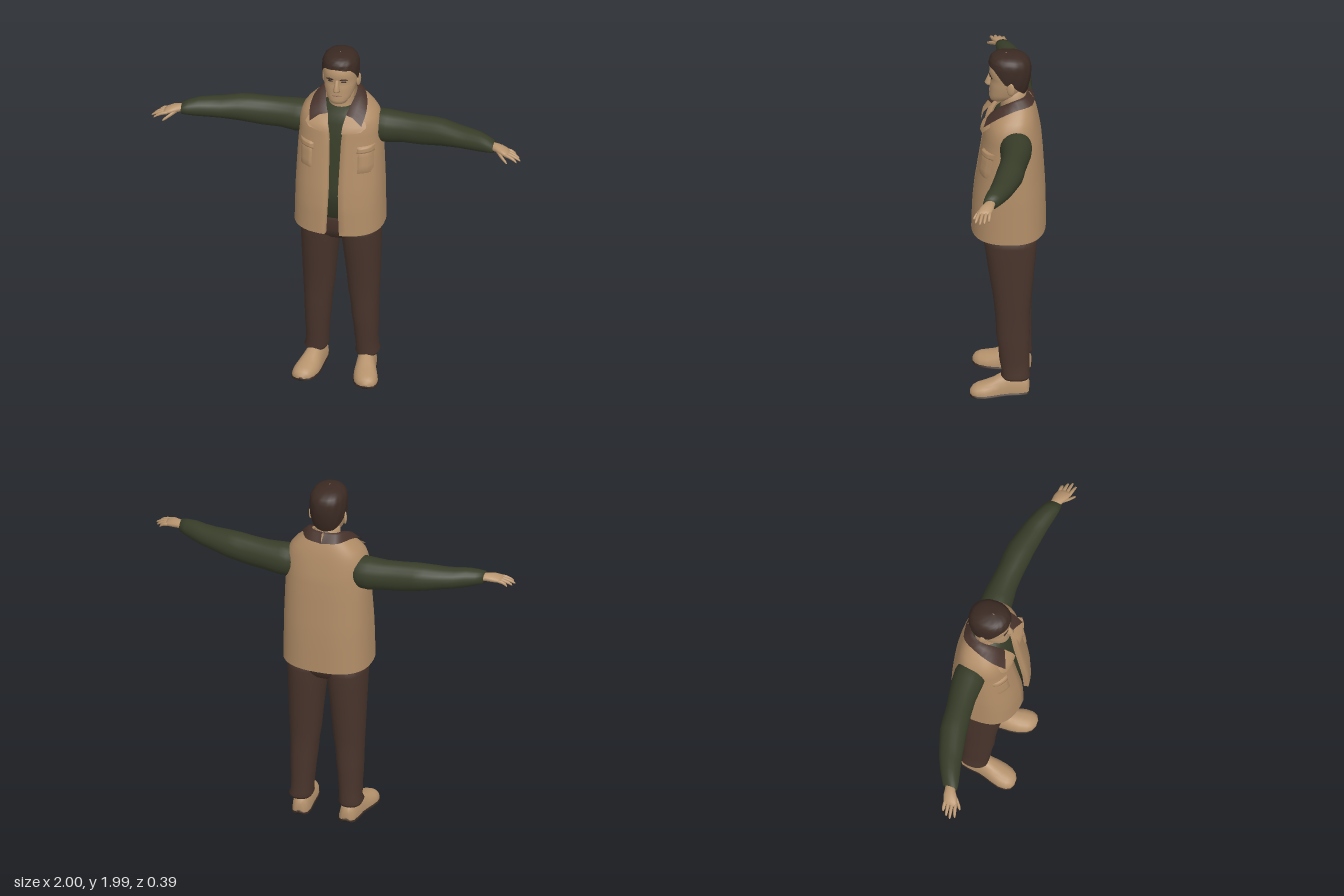
import * as THREE from 'three';

const V = (x, y, z) => new THREE.Vector3(x, y, z);
const mat = (name, color, side = THREE.FrontSide) => {
  const m = new THREE.MeshStandardMaterial({ color, side });
  m.name = name;
  return m;
};
const spow = (v, p) => Math.sign(v) * Math.pow(Math.abs(v), 2 / p);

// Linear lookup in a table whose rows start with the key
function at(table, k) {
  let i = 0;
  while (i < table.length - 2 && k > table[i + 1][0]) i++;
  const a = table[i], b = table[i + 1];
  const t = THREE.MathUtils.clamp((k - a[0]) / (b[0] - a[0]), 0, 1);
  return a.map((v, j) => v + (b[j] - v) * t);
}

// Horizontal superellipse point; angle 0 faces front, row = [y, rx, zFront, zBack, cx]
function flat([y, rx, zf, zb, cx = 0], a, p = 2.3) {
  return V(cx + rx * spow(Math.sin(a), p), y, (zf + zb) / 2 + (zf - zb) / 2 * spow(Math.cos(a), p));
}
const around = (n, fn) => Array.from({ length: n }, (_, i) => fn(i / n * Math.PI * 2));

// Skin over equal-length rings
function loft(rings, { closed = true, caps = closed } = {}) {
  const n = rings[0].length, pts = rings.flat(), idx = [];
  for (let i = 0; i < rings.length - 1; i++)
    for (let j = 0; j < (closed ? n : n - 1); j++) {
      const k = (j + 1) % n, a = i * n + j, b = i * n + k, c = b + n, d = a + n;
      idx.push(a, b, c, a, c, d);
    }
  if (caps) for (const end of [0, rings.length - 1]) {
    const c = V(0, 0, 0);
    rings[end].forEach(p => c.addScaledVector(p, 1 / n));
    const o = pts.push(c) - 1;
    for (let j = 0; j < n; j++) {
      const a = end * n + j, b = end * n + (j + 1) % n;
      idx.push(o, ...(end ? [a, b] : [b, a]));
    }
  }
  const g = new THREE.BufferGeometry().setFromPoints(pts);
  g.setIndex(idx);
  g.computeVertexNormals();
  return g;
}
const column = (rows, p, n = 32) => loft(rows.map(r => around(n, a => flat(r, a, p))));

// Limb along x, row = [x, cy, ry, cz, rz]
const limb = (rows, n = 20) => loft(rows.map(([x, cy, ry, cz, rz]) =>
  around(n, a => V(x, cy - ry * Math.sin(a), cz + rz * Math.cos(a)))));

function mirrored(g) {
  const m = g.clone().scale(-1, 1, 1), ix = m.index.array;
  for (let i = 0; i < ix.length; i += 3) [ix[i], ix[i + 1]] = [ix[i + 1], ix[i]];
  m.computeVertexNormals();
  return m;
}

// Profiles: [y, rx, zFront, zBack, ...]
const VEST = [[0.945, 0.24, 0.2, -0.195, 0.04], [1.1, 0.237, 0.195, -0.193, 0.033], [1.2, 0.235, 0.185, -0.19, 0.03],
  [1.4, 0.227, 0.155, -0.178, 0.034], [1.5, 0.22, 0.14, -0.17, 0.036], [1.57, 0.218, 0.13, -0.158, 0.045],
  [1.62, 0.203, 0.112, -0.148, 0.062], [1.66, 0.173, 0.085, -0.138, 0.075], [1.7, 0.125, 0.05, -0.124, 0.085],
  [1.74, 0.085, 0.0, -0.105, 0.085]];
const HAIR = [[1.74, 0.07, 0.1, -0.085], [1.78, 0.086, 0.1, -0.1], [1.83, 0.095, 0.1, -0.112], [1.88, 0.099, 0.108, -0.118],
  [1.925, 0.097, 0.109, -0.115], [1.95, 0.09, 0.104, -0.104], [1.97, 0.073, 0.09, -0.08], [1.982, 0.045, 0.065, -0.045], [1.988, 0.002, 0.02, 0.01]];
const HAIRLINE = [[0, 1.93], [0.75, 1.92], [1.05, 1.89], [1.4, 1.835], [1.75, 1.825], [2.0, 1.8], [2.5, 1.765], [3.15, 1.755]];

export function createModel() {
  const root = new THREE.Group();
  root.name = 'standingMan';
  const skin = mat('skin', 0xb8956f), tan = mat('vestTan', 0xb18d67, THREE.DoubleSide), green = mat('shirtGreen', 0x383d29),
    brown = mat('trouserBrown', 0x49352c), dark = mat('collarBrown', 0x46312a, THREE.DoubleSide), hairMat = mat('hairBrown', 0x3b2a23),
    shoeTan = mat('shoeTan', 0xb5926c), soleMat = mat('soleBrown', 0x352822), lip = mat('lip', 0x94705a);

  const add = (name, g, m) => {
    const mesh = new THREE.Mesh(g, m);
    mesh.name = name;
    root.add(mesh);
    return mesh;
  };
  const pair = (name, g, m) => {
    add(name + 'Left', g, m);
    add(name + 'Right', mirrored(g), m);
  };

  // Vest shell, open down the front, with turned-in front edges
  const vestRings = Array.from({ length: 27 }, (_, i) => {
    const r = at(VEST, 0.945 + 0.795 * i / 26), w = r[4];
    const a0 = Math.asin(Math.min(1, Math.pow(w / r[1], 1.25)));
    const ring = Array.from({ length: 49 }, (_, j) =>
      flat(r.slice(0, 4), a0 + (Math.PI * 2 - 2 * a0) * j / 48, 2.5));
    const inner = p => V(p.x - 0.005 * Math.sign(p.x), p.y, p.z - 0.025);
    const all = [inner(ring[0]), ...ring, inner(ring[48])];
    all.forEach(p => { p.x -= 0.005 * Math.max(0, p.z / 0.2); });
    return all;
  });
  add('vest', loft(vestRings, { closed: false }), tan);

  // Patch pockets that follow the vest front
  const pocket = (x, y, w, h) => {
    const g = new THREE.PlaneGeometry(w, h, 6, 6).translate(x, y, 0), pos = g.attributes.position;
    for (let i = 0; i < pos.count; i++) {
      const r = at(VEST, pos.getY(i)), q = Math.min(1, Math.abs(pos.getX(i) / r[1]));
      const edge = i % 7 === 0 || i % 7 === 6 || i < 7 || i > 41;
      pos.setZ(i, (r[2] + r[3]) / 2 + (r[2] - r[3]) / 2 * Math.pow(1 - Math.pow(q, 2.5), 0.4) + (edge ? -0.004 : 0.009));
    }
    g.computeVertexNormals();
    return g;
  };
  pair('chestPocket', pocket(0.16, 1.39, 0.08, 0.15), tan);
  pair('pocketFlap', pocket(0.16, 1.455, 0.086, 0.04).translate(0, 0, 0.004), tan);

  // Fold-over collar and lapels
  const curve = pts => new THREE.CatmullRomCurve3(pts.map(p => V(...p))).getPoints(14);
  const inner = curve([[0, 1.755, -0.098], [0.06, 1.75, -0.08], [0.083, 1.735, -0.025], [0.068, 1.69, 0.05], [0.05, 1.645, 0.095]]);
  const outer = curve([[0, 1.705, -0.137], [0.085, 1.71, -0.12], [0.135, 1.7, -0.03], [0.152, 1.66, 0.06], [0.14, 1.605, 0.13]]);
  const ridge = inner.map((p, i) => p.clone().lerp(outer[i], 0.4).add(V(0.006, 0.012, 0.004)));
  pair('collar', loft([outer, ridge, inner], { closed: false }), dark);
  pair('lapel', loft([
    [V(0.035, 1.555, 0.15), V(0.085, 1.562, 0.15), V(0.142, 1.575, 0.138)],
    [V(0.04, 1.6, 0.136), V(0.09, 1.6, 0.142), V(0.165, 1.598, 0.12)],
    [V(0.05, 1.645, 0.09), V(0.1, 1.63, 0.1), V(0.155, 1.615, 0.095)]], { closed: false }), tan);

  // Shirt body and sleeves
  add('shirt', column([[1.03, 0.2, 0.163, -0.15], [1.2, 0.2, 0.153, -0.15], [1.4, 0.19, 0.128, -0.14], [1.5, 0.185, 0.112, -0.135],
    [1.58, 0.165, 0.096, -0.12], [1.63, 0.11, 0.077, -0.11], [1.66, 0.07, 0.052, -0.095]], 2.4), green);
  pair('sleeve', limb([[0.14, 1.53, 0.07, -0.045, 0.07], [0.2, 1.522, 0.09, -0.045, 0.085], [0.25, 1.52, 0.091, -0.046, 0.083],
    [0.33, 1.524, 0.083, -0.044, 0.074], [0.42, 1.527, 0.083, -0.035, 0.07], [0.49, 1.534, 0.079, -0.028, 0.073],
    [0.55, 1.538, 0.073, -0.021, 0.073], [0.64, 1.54, 0.06, 0.0, 0.067], [0.7, 1.542, 0.056, 0.015, 0.062], [0.76, 1.546, 0.052, 0.035, 0.056],
    [0.81, 1.546, 0.042, 0.053, 0.048], [0.845, 1.545, 0.033, 0.065, 0.04]]), green);

  // Hands: palm, four fingers and thumb
  pair('palm', limb([[0.82, 1.547, 0.02, 0.06, 0.026], [0.86, 1.546, 0.021, 0.072, 0.03], [0.89, 1.543, 0.021, 0.083, 0.038],
    [0.92, 1.536, 0.016, 0.092, 0.038], [0.935, 1.532, 0.009, 0.096, 0.032]], 14), skin);
  const digit = (a, b, c, r) => {
    const path = new THREE.QuadraticBezierCurve3(V(...a), V(...b), V(...c));
    return loft([0, 0.35, 0.7, 0.93, 1].map((t, k) => {
      const p = path.getPoint(t), s = r * [1, 1, 0.85, 0.6, 0.15][k];
      return around(8, q => V(p.x, p.y - s * Math.sin(q), p.z + s * Math.cos(q)));
    }));
  };
  [[0.065, 0.068, 0.968], [0.083, 0.092, 0.99], [0.102, 0.115, 1.0], [0.121, 0.138, 0.985]].forEach(([z0, z1, x1], i) =>
    pair('finger' + (i + 1), digit([0.915, 1.536, z0], [0.96, 1.532, (z0 + z1) / 2], [x1, 1.508, z1], 0.0095), skin));
  pair('thumb', digit([0.865, 1.54, 0.09], [0.9, 1.525, 0.13], [0.935, 1.503, 0.15], 0.012), skin);

  // Trousers: hips and two legs
  add('hips', column([[0.86, 0.12, 0.09, -0.11], [0.89, 0.19, 0.12, -0.135], [0.93, 0.213, 0.135, -0.152], [1.0, 0.213, 0.147, -0.155], [1.06, 0.2, 0.14, -0.15]], 2.6), brown);
  const LEG = [[0.09, 0.058, 0.03, -0.112, 0.138], [0.105, 0.065, 0.038, -0.118, 0.138], [0.125, 0.059, 0.033, -0.113, 0.135], [0.2, 0.061, 0.047, -0.113, 0.132],
    [0.28, 0.067, 0.053, -0.113, 0.131], [0.35, 0.071, 0.064, -0.115, 0.127], [0.43, 0.075, 0.066, -0.113, 0.125], [0.5, 0.082, 0.073, -0.117, 0.121], [0.6, 0.088, 0.084, -0.127, 0.119],
    [0.72, 0.095, 0.104, -0.137, 0.115], [0.82, 0.102, 0.118, -0.146, 0.111], [0.9, 0.106, 0.13, -0.151, 0.109], [0.97, 0.105, 0.135, -0.15, 0.108]];
  pair('trouserLeg', column(LEG, 2.3, 24), brown);

  // Shoes with dark soles, row = [z, cx, rx, top]
  const SHOE = [[-0.112, 0.13, 0.025, 0.06], [-0.1, 0.13, 0.042, 0.095], [-0.06, 0.132, 0.05, 0.115], [0.0, 0.138, 0.052, 0.12], [0.04, 0.145, 0.057, 0.108],
    [0.08, 0.153, 0.064, 0.085], [0.12, 0.162, 0.067, 0.07], [0.16, 0.169, 0.06, 0.06], [0.185, 0.173, 0.045, 0.047], [0.199, 0.175, 0.018, 0.028]];
  const footLoft = (lift, grow, top) => loft(SHOE.map(([z, cx, rx, h]) => around(20, a =>
    V(cx + (rx + grow) * spow(Math.cos(a), 2.3), lift + Math.max(0, Math.sin(a)) * (top ?? h - lift), z))));
  pair('shoe', footLoft(0.012, 0, null), shoeTan);
  pair('sole', footLoft(0, 0.003, 0.02), soleMat);

  // Neck and head
  add('neck', column([[1.58, 0.07, 0.05, -0.08], [1.65, 0.067, 0.046, -0.085], [1.7, 0.066, 0.042, -0.088], [1.78, 0.07, 0.05, -0.09]], 2), skin);
  add('head', column([[1.703, 0.028, 0.085, 0.03], [1.712, 0.046, 0.1, 0.0], [1.735, 0.064, 0.107, -0.04], [1.755, 0.074, 0.101, -0.065], [1.79, 0.083, 0.103, -0.085],
    [1.82, 0.088, 0.099, -0.098], [1.85, 0.091, 0.094, -0.105], [1.866, 0.092, 0.105, -0.106], [1.9, 0.091, 0.104, -0.106], [1.93, 0.087, 0.095, -0.1], [1.955, 0.07, 0.075, -0.08], [1.97, 0.03, 0.04, -0.03]], 2.2), skin);
  add('nose', column([[1.788, 0.009, 0.108, 0.08], [1.795, 0.019, 0.123, 0.08], [1.805, 0.018, 0.13, 0.08], [1.83, 0.012, 0.119, 0.08], [1.86, 0.009, 0.107, 0.08]], 2, 14), skin);
  const blob = (x, y, z, rx, ry, rz, turn = 0) =>
    new THREE.SphereGeometry(1, 14, 10).scale(rx, ry, rz).rotateY(turn).translate(x, y, z);
  pair('ear', blob(0.094, 1.813, -0.012, 0.009, 0.038, 0.022, -0.3), skin);
  pair('brow', blob(0.037, 1.866, 0.0985, 0.023, 0.005, 0.004, 0.2), hairMat);
  pair('eye', blob(0.036, 1.848, 0.09, 0.014, 0.005, 0.004, 0.25), hairMat);
  add('mouth', blob(0, 1.763, 0.102, 0.026, 0.004, 0.004), lip);

  // Hair cap: follows the hairline below, lightly combed into locks
  const hairRings = Array.from({ length: 15 }, (_, i) => around(64, a => {
    const t = Math.sin(i / 14 * Math.PI / 2);
    const low = at(HAIRLINE, Math.min(a, Math.PI * 2 - a))[1];
    const p = flat(at(HAIR, low + (1.988 - low) * t), a, 2.2);
    const lock = 1 + 0.02 * Math.sin(a * 13 + i * 0.5) * Math.sin(i * 1.3) * (1 - t * 0.5);
    return V(p.x * lock, p.y, p.z * lock);
  }));
  add('hair', loft(hairRings, { caps: false }), hairMat);
  return root;
}
